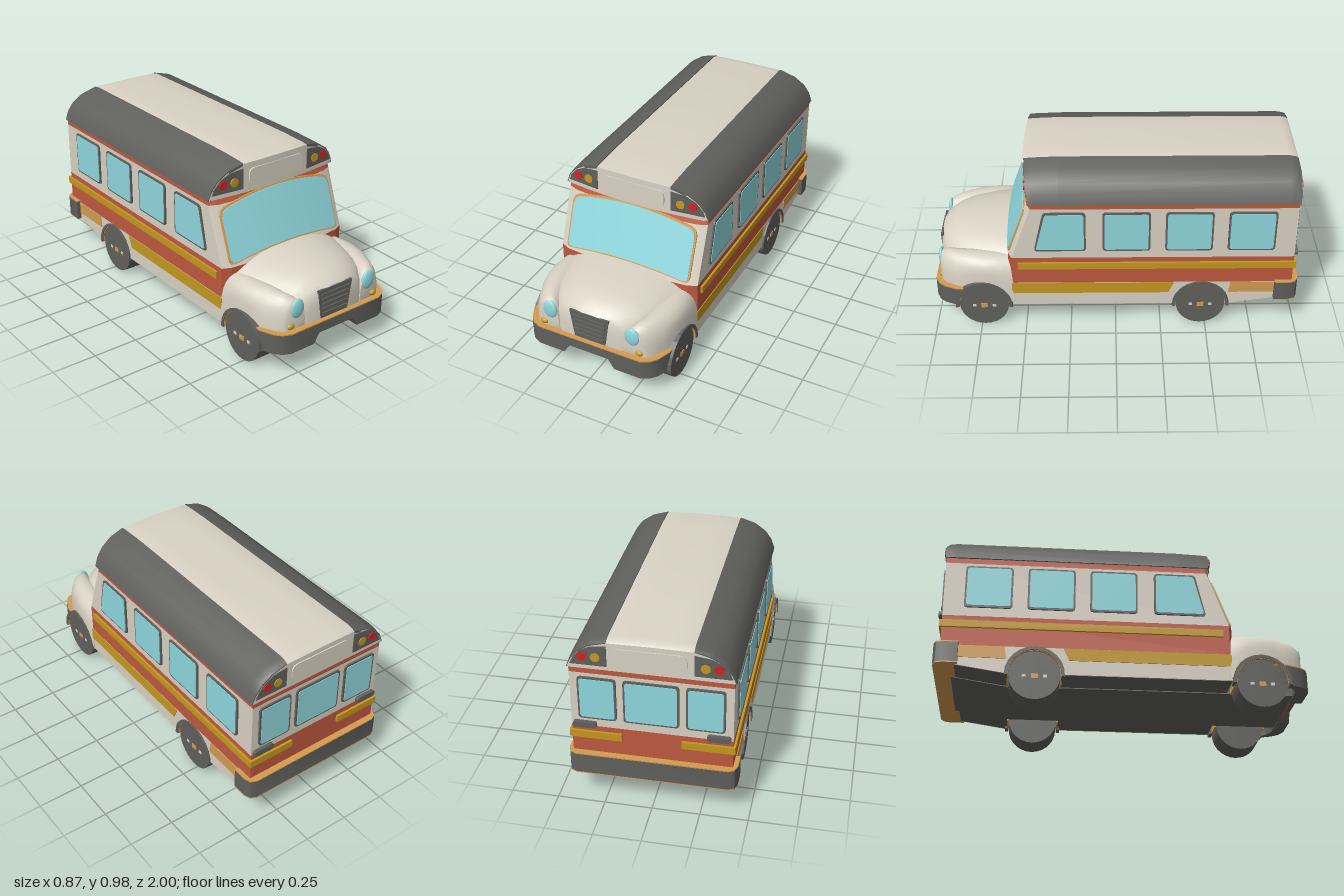
import * as THREE from 'three';
import { toCreasedNormals } from 'three/addons/utils/BufferGeometryUtils.js';

const mat = (name, color) => Object.assign(new THREE.MeshStandardMaterial({ color }), { name });
const M = {
  cream: mat('cream paint', 0xd9d2c4), dark: mat('dark grey', 0x60615d), red: mat('rust red', 0xbf593f),
  yellow: mat('mustard', 0xc4991f), tan: mat('tan trim', 0xd39b50), glass: mat('glass', 0x8fd8de),
  lamp: mat('red lamp', 0xd62222),
};

// Solid through equal rings of [x, y, z]; ends are closed by pairing point i with point n-1-i
function loft(rings, crease = 0.6) {
  const n = rings[0].length, idx = [], last = (rings.length - 1) * n;
  for (let k = 0; k < rings.length - 1; k++) for (let i = 0; i < n; i++) {
    const a = k * n + i, b = k * n + (i + 1) % n;
    idx.push(a, b, b + n, a, b + n, a + n);
  }
  for (let i = 0; i < n / 2 - 1; i++) {
    const [a, b, c, d] = [i, i + 1, n - 2 - i, n - 1 - i];
    idx.push(b, a, d, b, d, c, last + a, last + b, last + d, last + b, last + c, last + d);
  }
  const p = rings.flat();
  // turn the faces outward if the rings run the other way
  let volume = 0;
  const [A, B, C] = [0, 1, 2].map(() => new THREE.Vector3());
  for (let i = 0; i < idx.length; i += 3) {
    A.fromArray(p[idx[i]]); B.fromArray(p[idx[i + 1]]); C.fromArray(p[idx[i + 2]]);
    volume += A.dot(B.cross(C));
  }
  if (volume < 0) idx.reverse();
  const g = new THREE.BufferGeometry();
  g.setAttribute('position', new THREE.Float32BufferAttribute(p.flat(), 3));
  g.setIndex(idx);
  return toCreasedNormals(g.toNonIndexed(), crease);
}

// Polygon with rounded corners
function rounded(pts, r) {
  const s = new THREE.Shape(), v = pts.map(p => new THREE.Vector2(...p)), n = v.length;
  v.forEach((c, i) => {
    const a = c.clone().add(v[(i + n - 1) % n].clone().sub(c).setLength(r));
    const b = c.clone().add(v[(i + 1) % n].clone().sub(c).setLength(r));
    i ? s.lineTo(a.x, a.y) : s.moveTo(a.x, a.y);
    s.quadraticCurveTo(c.x, c.y, b.x, b.y);
  });
  s.closePath();
  return s;
}
const poly = pts => new THREE.Shape(pts.map(p => new THREE.Vector2(...p)));
const rect = (x0, x1, y0, y1) => [[x0, y0], [x1, y0], [x1, y1], [x0, y1]];
const inset = (pts, d) => {
  const cx = pts.reduce((s, p) => s + p[0], 0) / pts.length, cy = pts.reduce((s, p) => s + p[1], 0) / pts.length;
  return pts.map(([x, y]) => [x - Math.sign(x - cx) * d, y - Math.sign(y - cy) * d]);
};
const extrude = (shape, depth) => new THREE.ExtrudeGeometry(shape, { depth, bevelEnabled: false, curveSegments: 6 });
// Extrusion of a (z, y) shape whose outer face is at x = side * outer
const sideExtrude = (shape, side, outer, depth) =>
  extrude(shape, depth).rotateY(-Math.PI / 2).translate(side > 0 ? outer : depth - outer, 0, 0);

// Bowed, leaning front face
const bow = x => 0.03 * (x / 0.4) ** 2;
const frontZ = y => 0.61 - Math.max(0, y - 0.46) * 0.36;

export function createModel() {
  const bus = new THREE.Group();
  bus.name = 'bus';
  const add = (name, geo, material) => {
    const m = new THREE.Mesh(geo, material);
    m.name = name;
    bus.add(m);
    return m;
  };
  const box = (name, m, x0, x1, y0, y1, z0, z1) => add(name,
    new THREE.BoxGeometry(x1 - x0, y1 - y0, z1 - z0).translate((x0 + x1) / 2, (y0 + y1) / 2, (z0 + z1) / 2), m);

  // Body in coloured bands
  const xs = [-0.41, -0.36, -0.24, -0.12, 0, 0.12, 0.24, 0.36, 0.41];
  const plan = y => [...xs.map(x => [x, y, -0.965]),
    ...xs.map(x => [x, y, frontZ(y) - bow(x) - (Math.abs(x) > 0.4 ? 0.015 : 0)]).reverse()];
  [['lowerBody', 'red', 0.29, 0.46], ['windowBand', 'cream', 0.46, 0.775], ['upperStripe', 'red', 0.775, 0.815]]
    .forEach(([name, c, y0, y1]) => add(name, loft([plan(y0), plan(y1)], 0.3), M[c]));

  // Skirt with the rear wheel opening
  const skirt = poly([[0.57, 0.14], [0.57, 0.29], [-0.96, 0.29], [-0.96, 0.19], [-0.63, 0.14]]);
  skirt.lineTo(-0.615, 0.14);
  skirt.absarc(-0.47, 0.14, 0.145, Math.PI, 0, true);
  add('skirtCore', sideExtrude(skirt, 1, 0.402, 0.804), M.dark);
  add('chassis', sideExtrude(poly([[0.93, 0.135], [0.93, 0.25], [-0.95, 0.25], [-0.95, 0.185], [-0.63, 0.135]]), 1, 0.24, 0.48), M.dark);

  // Roof
  const roofEnds = [[-0.97, 0.9], [-0.955, 0.96], [-0.92, 1], [0.3, 1], [0.46, 0.965], [0.495, 0.94]];
  const roofRings = pts => roofEnds.map(([z, s]) =>
    pts.map(([x, y]) => [x, 0.81 + (y - 0.81) * s, z > 0.4 ? z - bow(x) : z]));
  const crown = [[0, 0.98], [0.1, 0.979], [0.21, 0.977], [0.3, 0.95], [0.36, 0.908], [0.395, 0.86], [0.413, 0.815]];
  const top = [...crown.slice(1).reverse().map(([x, y]) => [-x, y]), ...crown];
  add('roof', loft(roofRings([...top.map(([x]) => [x, 0.805]), ...top.reverse()]), 0.5), M.cream);
  const shell = [[0.215, 0.981], [0.303, 0.956], [0.366, 0.912], [0.401, 0.862], [0.42, 0.805],
    [0.405, 0.805], [0.385, 0.86], [0.35, 0.9], [0.295, 0.94], [0.215, 0.965]];

  // Windshield
  const wx = [0.36, 0.352, 0.33, 0.26, 0.18, 0.09], cols = [...wx.map(x => -x), 0, ...wx.slice().reverse()];
  const pane = (grow, out) => loft(cols.map(x => {
    const a = Math.abs(x), end = a > 0.355 ? 0.035 : a > 0.34 ? 0.01 : 0;
    const y0 = 0.517 - 0.3 * a * a + end * 0.6 - grow, y1 = 0.798 - 0.42 * a * a - end + grow, X = x * (1 + grow * 2.8);
    const pt = (y, o) => [X, y, frontZ(y) - bow(X) + o];
    return [pt(y0, -0.01), pt(y1, -0.01), pt(y1, out), pt(y0, out)];
  }), 0.4);
  add('windshieldFrame', pane(0.009, 0.006), M.tan);
  add('windshield', pane(0, 0.01), M.glass);

  // Hood and fenders: arched sections
  const arch = (z, cx, rx, y0, y1, p) => Array.from({ length: 18 }, (_, i) => {
    const t = Math.PI * i / 17;
    return [cx + rx * Math.cos(t), y0 + (y1 - y0) * Math.max(0, Math.sin(t)) ** p, z];
  });
  add('hood', loft([[0.55, 0.4, 0.51], [0.68, 0.37, 0.503], [0.82, 0.325, 0.49], [0.9, 0.27, 0.472], [0.95, 0.22, 0.445],
    [0.975, 0.17, 0.42]].map(([z, w, h]) => arch(z, 0, w, 0.24, h, 0.6)), 0.7), M.cream);
  const fender = [[0.56, 0.33, 0.085, 0.42, 0.14], [0.6, 0.33, 0.086, 0.425, 0.2], [0.66, 0.325, 0.088, 0.43, 0.275],
    [0.73, 0.318, 0.09, 0.43, 0.29], [0.8, 0.306, 0.09, 0.43, 0.275], [0.87, 0.29, 0.087, 0.425, 0.2],
    [0.92, 0.272, 0.08, 0.42, 0.2], [0.955, 0.255, 0.07, 0.405, 0.2], [0.968, 0.248, 0.058, 0.39, 0.22]];

  // Grille
  add('grille', extrude(poly([[-0.09, 0.25], [0.09, 0.25], [0.115, 0.415], [-0.115, 0.415]]), 0.012).translate(0, 0, 0.968), M.dark);
  for (let i = 0; i < 5; i++) box('grilleSlat', M.dark, -0.083 - i * 0.003, 0.083 + i * 0.003, 0.27 + i * 0.028, 0.282 + i * 0.028, 0.975, 0.988);

  // Front bumper with centre notch
  const half = [[0.405, 0.13, 0.87], [0.375, 0.13, 0.945], [0.345, 0.13, 0.98], [0.3, 0.13, 1], [0.15, 0.13, 1], [0.115, 0.185, 1]];
  const stations = [...half.map(([x, y, z]) => [-x, y, z]), ...half.slice().reverse()];
  const bumper = (low, high) => loft(stations.map(([x, y, z]) => {
    const b = low ?? y;
    return [[x, b, z - 0.07], [x, high, z - 0.07], [x, high, z], [x, b, z]];
  }));
  add('frontBumper', bumper(null, 0.24), M.dark);
  add('frontBumperTop', bumper(0.24, 0.246), M.tan);
  box('frontValance', M.red, -0.13, 0.13, 0.163, 0.19, 0.93, 0.965);

  // Rear bumper
  const rb = [[0.435, -0.87], [0.435, -0.95], [0.422, -0.985], [0.39, -1]];
  const rearRing = y => [...rb.map(([x, z]) => [-x, y, z]), ...rb.slice().reverse().map(([x, z]) => [x, y, z])];
  [['rearBumper', 'dark', 0.185, 0.296], ['rearBumperTop', 'tan', 0.296, 0.302], ['rearBumperUnderside', 'tan', 0.179, 0.185]]
    .forEach(([name, c, y0, y1]) => add(name, loft([rearRing(y0), rearRing(y1)]), M[c]));

  // Destination panels and rear windows
  const sign = rounded(rect(-0.18, 0.18, 0.835, 0.935), 0.035);
  add('frontSignPanel', extrude(sign, 0.008).translate(0, 0, 0.49), M.cream);
  add('rearSignPanel', extrude(sign, 0.008).translate(0, 0, -0.976), M.cream);
  const rearWindow = (x0, x1) => {
    const r = rect(x0, x1, 0.51, 0.755);
    add('rearWindowFrame', extrude(rounded(r, 0.02), 0.012).translate(0, 0, -0.975), M.dark);
    add('rearWindow', extrude(rounded(inset(r, 0.01), 0.015), 0.009).translate(0, 0, -0.978), M.glass);
  };
  rearWindow(-0.14, 0.14);

  const lampPlate = [[0.215, 0.83], [0.4, 0.83], [0.383, 0.868], [0.35, 0.905], [0.3, 0.932], [0.215, 0.943]];
  const windows = [[[0.44, 0.51], [0.16, 0.51], [0.16, 0.755], [0.385, 0.755]],
    ...[0.07, -0.265, -0.6].map(z => rect(z - 0.255, z, 0.51, 0.755))];
  const ring = (z, r0, r1) => {
    const s = new THREE.Shape();
    s.absarc(z, 0.135, r1, -0.05, Math.PI + 0.05, false);
    s.absarc(z, 0.135, r0, Math.PI + 0.05, -0.05, true);
    return s;
  };
  for (const s of [-1, 1]) {
    // Side panels, stripes and windows
    const plate = (name, shape, outer, depth, m) => add(name, sideExtrude(shape, s, outer, depth), m);
    plate('skirtPanel', skirt, 0.41, 0.008, M.cream);
    plate('skirtStripe', poly([[0.57, 0.22], [0.57, 0.288], [-0.32, 0.288], [-0.29, 0.22]]), 0.414, 0.006, M.yellow);
    plate('rearSkirtPanel', poly([[-0.62, 0.22], [-0.63, 0.288], [-0.88, 0.288], [-0.88, 0.22]]), 0.414, 0.006, M.tan);
    plate('sideStripe', poly(rect(-0.972, 0.53, 0.39, 0.43)), 0.422, 0.014, M.yellow);
    for (const w of windows) {
      plate('sideWindowFrame', rounded(w, 0.02), 0.419, 0.012, M.dark);
      plate('sideWindow', rounded(inset(w, 0.01), 0.015), 0.422, 0.008, M.glass);
    }
    add('roofSide', loft(roofRings(shell.map(([x, y]) => [s * x, y])), 0.5), M.dark);
    add('fender', loft(fender.map(([z, cx, rx, y1, y0]) => arch(z, s * cx, rx, y0, y1, 0.55)), 0.7), M.cream);

    // Wheels and arches
    for (const z of [0.73, -0.47]) {
      add('wheel', new THREE.CylinderGeometry(0.135, 0.135, 0.16, 28).rotateZ(Math.PI / 2).translate(s * 0.325, 0.135, z), M.dark);
      plate('wheelArch', ring(z, 0.14, 0.158), 0.42, 0.06, M.dark);
      plate('archLiner', ring(z, 0.138, 0.146), 0.415, 0.17, M.tan);
      plate('hub', poly(rect(z - 0.018, z + 0.018, 0.117, 0.143)), 0.409, 0.008, M.tan);
      for (const d of [-0.055, 0.055]) plate('hubMark', poly(rect(z + d - 0.01, z + d + 0.01, 0.122, 0.138)), 0.408, 0.006, M.cream);
    }

    // Headlights and turn signals
    add('headlight', new THREE.SphereGeometry(1, 20, 12).scale(0.042, 0.054, 0.016).translate(s * 0.242, 0.358, 0.966), M.glass);
    add('turnSignal', new THREE.SphereGeometry(1, 16, 10).scale(0.023, 0.017, 0.016).translate(s * 0.283, 0.268, 0.966), M.yellow);

    // Warning lamps, front and rear
    for (const f of [1, -1]) {
      const onFace = x => f > 0 ? 0.496 - bow(x) : -0.972;
      const g = extrude(poly(lampPlate.map(([x, y]) => [s * x, y])), 0.008), p = g.attributes.position;
      for (let i = 0; i < p.count; i++) p.setZ(i, p.getZ(i) - 0.004 + onFace(p.getX(i)));
      g.computeVertexNormals();
      add('lampPanel', g, M.dark);
      [[0.27, M.yellow], [0.336, M.lamp]].forEach(([x, m]) => add('warningLamp',
        new THREE.CylinderGeometry(0.024, 0.024, 0.016, 20).rotateX(Math.PI / 2).translate(s * x, 0.878, onFace(x)), m));
    }

    // Rear corner details
    rearWindow(...(s > 0 ? [0.175, 0.37] : [-0.37, -0.175]));
    const mid = s * 0.286, pod = s * 0.34;
    box('rearStripe', M.yellow, mid - 0.134, mid + 0.134, 0.39, 0.43, -0.978, -0.96);
    add('tailLight', extrude(rounded(rect(pod - 0.06, pod + 0.06, 0.457, 0.49), 0.014), 0.025).translate(0, 0, -0.985), M.dark);
  }
  return bus;
}
